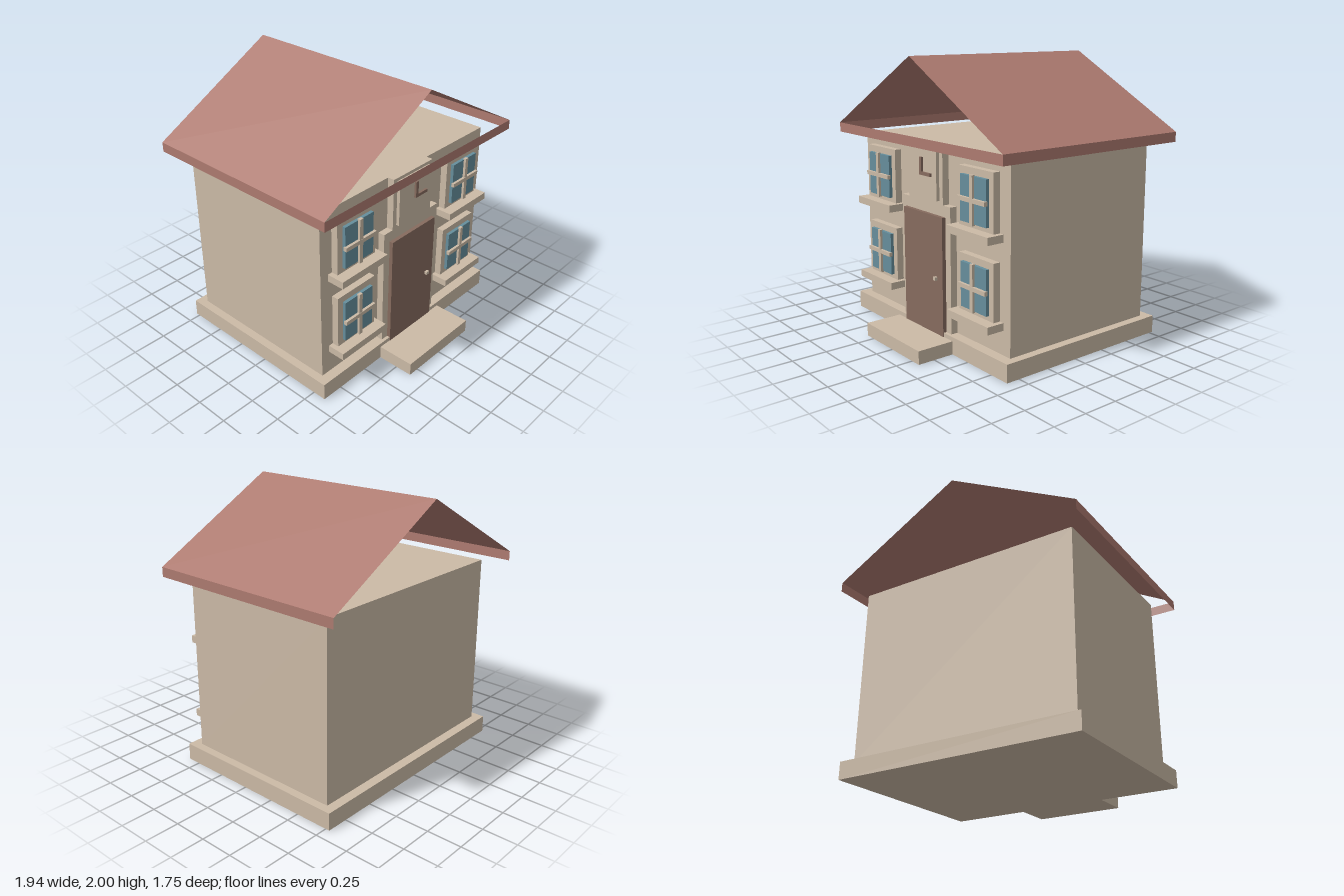
import * as THREE from 'three';

const stone = new THREE.MeshStandardMaterial({ name: 'sandstone', color: 0xcbbaa6 });
const tile = new THREE.MeshStandardMaterial({ name: 'roof red', color: 0xad7a70, side: THREE.DoubleSide });
const wood = new THREE.MeshStandardMaterial({ name: 'brown wood', color: 0x866b5e });
const glass = new THREE.MeshStandardMaterial({ name: 'blue glass', color: 0x668e9c });

// Box given by its minimum and maximum on each axis
function box(parent, name, material, [x0, x1], [y0, y1], [z0, z1]) {
  const mesh = new THREE.Mesh(new THREE.BoxGeometry(x1 - x0, y1 - y0, z1 - z0), material);
  mesh.position.set((x0 + x1) / 2, (y0 + y1) / 2, (z0 + z1) / 2);
  mesh.name = name;
  parent.add(mesh);
  return mesh;
}

// Flat four-cornered sheet, corners counter-clockwise from outside
function sheet(parent, name, material, a, b, c, d) {
  const geometry = new THREE.BufferGeometry();
  geometry.setAttribute('position', new THREE.Float32BufferAttribute([a, b, c, a, c, d].flat(), 3));
  geometry.computeVertexNormals();
  const mesh = new THREE.Mesh(geometry, material);
  mesh.name = name;
  parent.add(mesh);
}

// Window centred on x = 0 with its sill bottom at y = 0
function createWindow() {
  const win = new THREE.Group();
  win.name = 'window';
  box(win, 'windowSill', stone, [-0.217, 0.217], [0, 0.052], [0.52, 0.655]);
  box(win, 'windowFrame', stone, [-0.181, 0.181], [0.052, 0.445], [0.52, 0.576]);
  box(win, 'windowPane', glass, [-0.134, 0.134], [0.087, 0.397], [0.57, 0.6]);
  box(win, 'verticalBar', stone, [-0.015, 0.015], [0.078, 0.407], [0.595, 0.618]);
  box(win, 'horizontalBar', stone, [-0.143, 0.143], [0.228, 0.257], [0.595, 0.62]);
  return win;
}

// Open gable roof made of thin sheets, with a fascia on the front and both sides
function createRoof() {
  const roof = new THREE.Group();
  roof.name = 'roof';
  const w = 0.97, low = 1.4, eave = 1.47, ridge = 2, front = 0.69, back = -0.87;
  sheet(roof, 'rightSlope', tile, [w, eave, front], [w, eave, back], [0, ridge, back], [0, ridge, front]);
  sheet(roof, 'leftSlope', tile, [-w, eave, back], [-w, eave, front], [0, ridge, front], [0, ridge, back]);
  sheet(roof, 'rightFascia', tile, [w, low, front], [w, low, back], [w, eave, back], [w, eave, front]);
  sheet(roof, 'leftFascia', tile, [-w, low, back], [-w, low, front], [-w, eave, front], [-w, eave, back]);
  sheet(roof, 'frontFascia', tile, [-w, low, front], [w, low, front], [w, eave, front], [-w, eave, front]);
  return roof;
}

export function createModel() {
  const house = new THREE.Group();
  house.name = 'house';

  // Main masses
  box(house, 'plinth', stone, [-0.91, 0.91], [0, 0.125], [-0.78, 0.6]);
  box(house, 'walls', stone, [-0.85, 0.85], [0.125, 1.4], [-0.71, 0.525]);
  box(house, 'doorStep', stone, [-0.33, 0.33], [0, 0.095], [0.6, 0.875]);
  house.add(createRoof());

  // Entrance
  box(house, 'doorSurround', stone, [-0.29, 0.287], [0.125, 1.015], [0.52, 0.576]);
  box(house, 'upperSurround', stone, [-0.204, 0.204], [1.015, 1.4], [0.52, 0.576]);
  box(house, 'door', wood, [-0.232, 0.23], [0.095, 0.937], [0.57, 0.604]);
  box(house, 'doorKnob', stone, [0.145, 0.171], [0.488, 0.512], [0.6, 0.624]);

  // Clock above the door
  box(house, 'clockFace', stone, [-0.168, 0.165], [1.04, 1.377], [0.57, 0.6]);
  box(house, 'clockLongHand', wood, [-0.014, 0.011], [1.2, 1.322], [0.595, 0.616]);
  box(house, 'clockShortHand', wood, [0.011, 0.109], [1.2, 1.222], [0.595, 0.616]);

  // Four windows
  for (const x of [-0.564, 0.564]) {
    for (const y of [0.292, 0.874]) {
      const win = createWindow();
      win.position.set(x, y, 0);
      house.add(win);
    }
  }
  return house;
}
